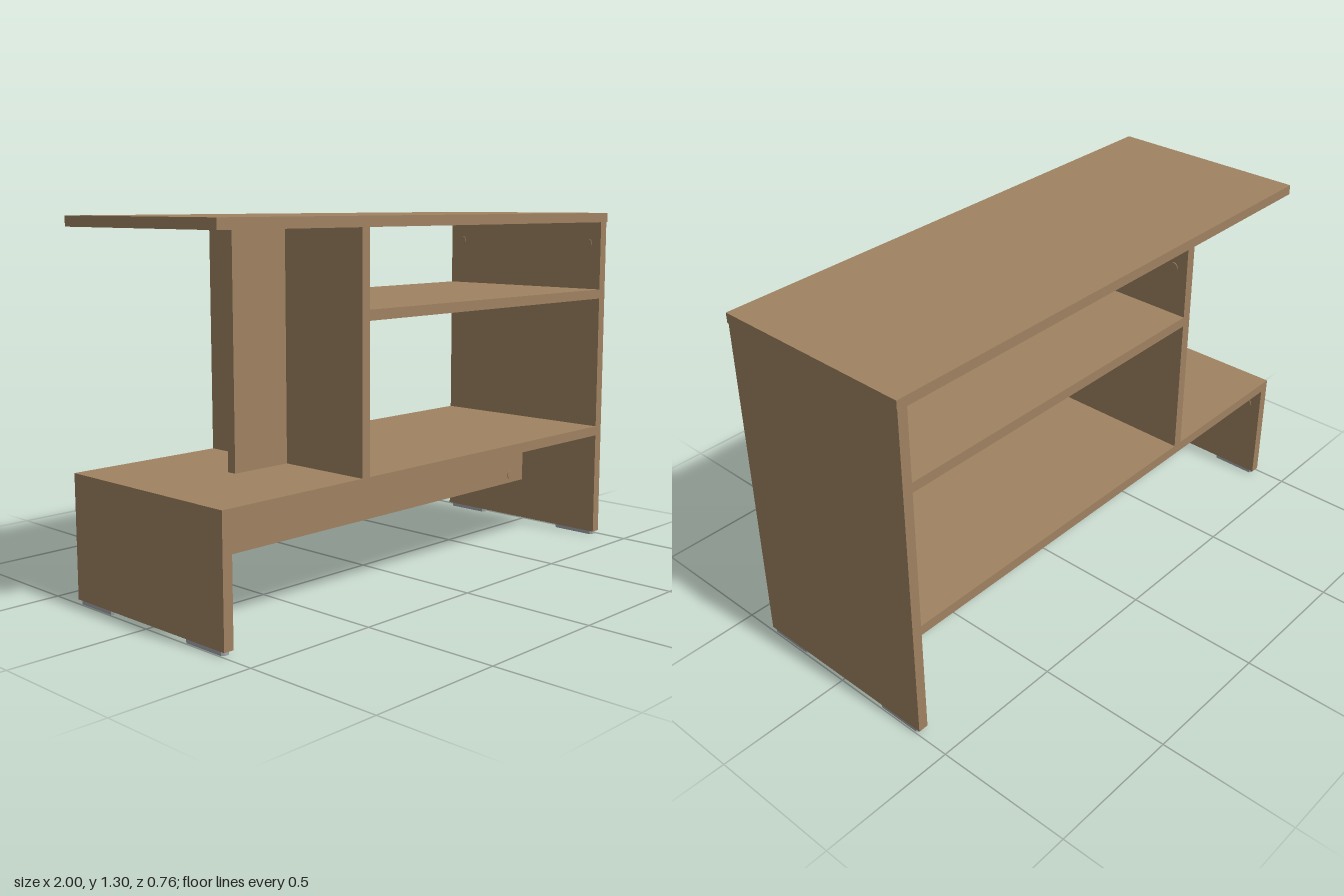
import * as THREE from 'three';

export function createModel() {
  const model = new THREE.Group();
  model.name = 'openShelfUnit';
  const wood = new THREE.MeshStandardMaterial({ color: 0xa08262 });
  wood.name = 'wood brown';
  const grey = new THREE.MeshStandardMaterial({ color: 0xa4a8ac });
  grey.name = 'glide grey';

  // Board given by its lower and upper limits on each axis
  function board(name, [x0, x1], [y0, y1], [z0, z1]) {
    const mesh = new THREE.Mesh(new THREE.BoxGeometry(x1 - x0, y1 - y0, z1 - z0), wood);
    mesh.position.set((x0 + x1) / 2, (y0 + y1) / 2, (z0 + z1) / 2);
    mesh.name = name;
    model.add(mesh);
  }
  const full = [-0.378, 0.378];
  const mid = [-0.018, 0.018];

  board('topBoard', [-1, 1], [1.264, 1.3], [-0.38, 0.38]);
  board('tallSidePanel', [0.96, 0.997], [0.014, 1.264], full);
  board('shortSidePanel', [-0.997, -0.96], [0.014, 0.413], full);
  board('lowerShelf', [-0.997, 0.96], [0.413, 0.45], full);
  board('upperShelf', [-0.364, 0.96], [0.964, 1.0], full);
  board('divider', [-0.4, -0.364], [0.45, 1.264], full);
  board('dividerBrace', [-0.635, -0.4], [0.45, 1.264], mid);
  board('stretcher', [-0.96, 0.96], [0.178, 0.413], mid);

  // Glide feet with clipped corners, lying under the side panels
  const w = 0.016, l = 0.09, c = 0.008;
  const outline = new THREE.Shape([
    [-w + c, -l], [w - c, -l], [w, -l + c], [w, l - c],
    [w - c, l], [-w + c, l], [-w, l - c], [-w, -l + c],
  ].map(([x, y]) => new THREE.Vector2(x, y)));
  const footGeometry = new THREE.ExtrudeGeometry(outline, { depth: 0.014, bevelEnabled: false });
  footGeometry.rotateX(-Math.PI / 2);
  for (const x of [-0.979, 0.979]) {
    for (const z of [-0.278, 0.278]) {
      const foot = new THREE.Mesh(footGeometry, grey);
      foot.position.set(x, 0, z);
      foot.name = 'glideFoot';
      model.add(foot);
    }
  }

  // Small round joint fittings, facing along a given direction
  const camGeometry = new THREE.CylinderGeometry(0.018, 0.018, 0.006, 20);
  const up = new THREE.Vector3(0, 1, 0);
  function fitting(x, y, z, dx, dy, dz) {
    const cam = new THREE.Mesh(camGeometry, wood);
    cam.position.set(x, y, z);
    cam.quaternion.setFromUnitVectors(up, new THREE.Vector3(dx, dy, dz));
    cam.name = 'jointFitting';
    model.add(cam);
  }
  for (const z of [-0.32, 0.32]) {
    fitting(-0.364, 1.18, z, 1, 0, 0);
    fitting(0.96, 1.18, z, -1, 0, 0);
    fitting(-0.96, 0.335, z, 1, 0, 0);
    for (const x of [-0.28, 0.875]) fitting(x, 0.964, z, 0, -1, 0);
    fitting(0.875, 0.413, z, 0, -1, 0);
  }
  for (const x of [-0.875, 0.875]) fitting(x, 0.212, 0.018, 0, 0, 1);

  return model;
}
